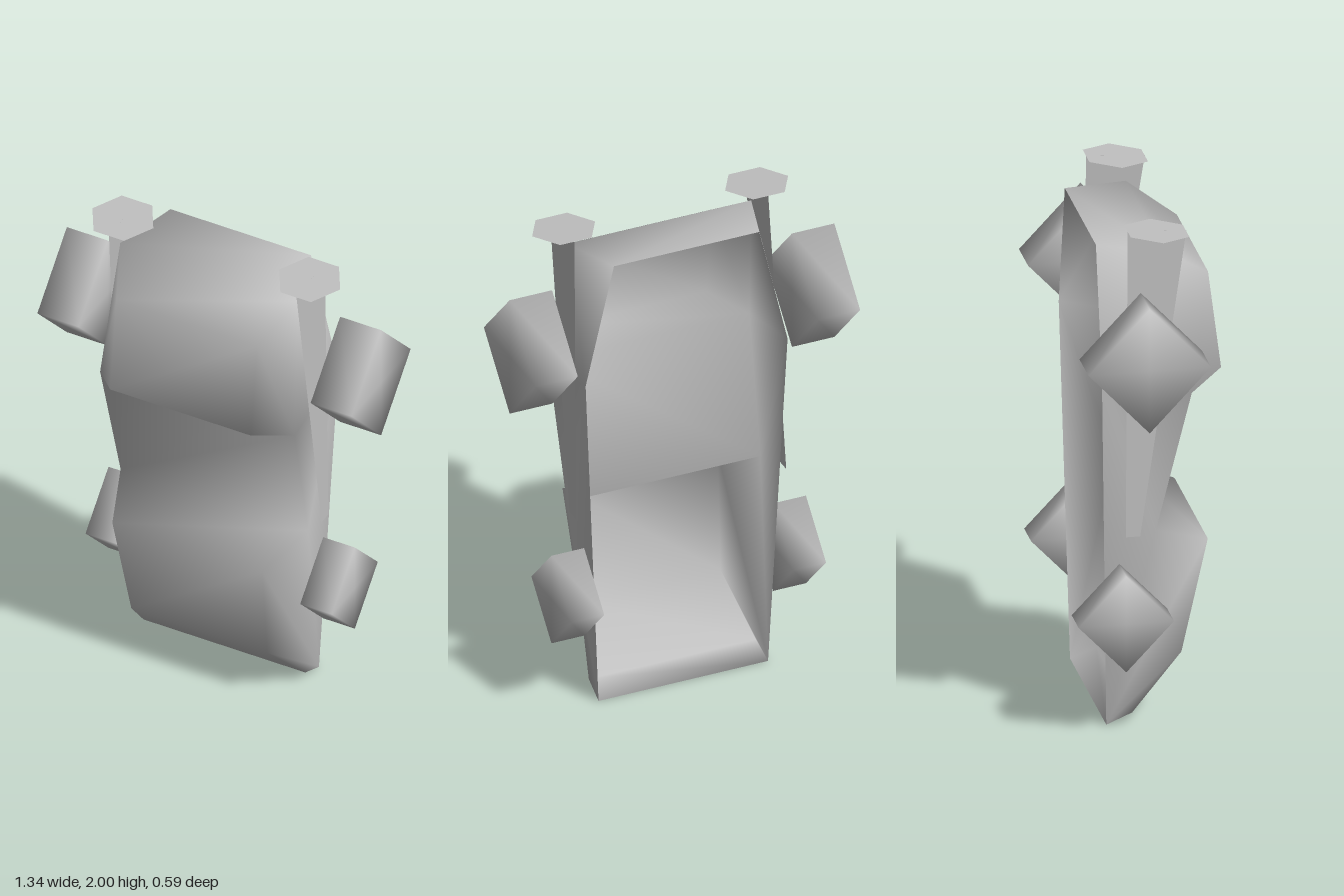
import * as THREE from 'three';
import { mergeVertices } from 'three/addons/utils/BufferGeometryUtils.js';

const grey = new THREE.MeshStandardMaterial({ color: 0xc0c0c0, side: THREE.DoubleSide });
grey.name = 'plain grey';

function addMesh(group, name, geometry) {
  const mesh = new THREE.Mesh(geometry, grey);
  mesh.name = name;
  group.add(mesh);
  return mesh;
}

function indexed(points, faces) {
  const g = new THREE.BufferGeometry();
  g.setAttribute('position', new THREE.Float32BufferAttribute(points.flat(), 3));
  g.setIndex(faces.flat());
  g.computeVertexNormals();
  return g;
}

// Car shell standing on its nose, open underneath (-z)
function bodyGeometry() {
  // half width, y, z along the profile: nose, bonnet, cockpit, engine cover, tail
  const profile = [
    [0.35, 0, -0.15], [0.345, 0.04, -0.05], [0.29, 0.25, 0.15], [0.32, 0.71, 0.245],
    [0.4, 0.79, 0.03], [0.415, 1.34, 0.165], [0.3, 1.39, 0.3], [0.3, 1.78, 0.25],
    [0.38, 1.9, 0.07], [0.3, 1.92, -0.18],
    [0.417, 1.42, -0.18], // widest point of the lower rim
  ];
  // Side panel triangles, as profile indices
  const side = [
    [0, 2, 1], [0, 3, 2], [0, 4, 3], [0, 10, 4], [4, 10, 5],
    [5, 7, 6], [5, 8, 7], [5, 10, 8], [10, 9, 8],
  ];
  const n = profile.length;
  const points = [...profile, ...profile.map(([x, y, z]) => [-x, y, z])];
  const faces = [];
  for (let i = 0; i < 9; i++) {
    faces.push([i + n, i, i + 1], [i + n, i + 1, i + 1 + n]);
  }
  for (const [a, b, c] of side) faces.push([a, b, c], [a + n, c + n, b + n]);
  return indexed(points, faces);
}

// Four-sided wheel with softly shared normals
function wheelGeometry(radiusY, radiusZ, width) {
  let g = new THREE.CylinderGeometry(1, 1, width, 4);
  g.rotateZ(Math.PI / 2);
  g.scale(1, radiusY, radiusZ);
  g.deleteAttribute('normal');
  g.deleteAttribute('uv');
  g = mergeVertices(g);
  g.computeVertexNormals();
  return g;
}

export function createModel() {
  const model = new THREE.Group();
  model.name = 'car';
  addMesh(model, 'body', bodyGeometry());

  for (const s of [1, -1]) {
    const label = s > 0 ? 'left' : 'right';

    // Wheels
    addMesh(model, label + 'RearWheel', wheelGeometry(0.25, 0.235, 0.175))
      .position.set(s * 0.583, 1.54, -0.047);
    addMesh(model, label + 'FrontWheel', wheelGeometry(0.193, 0.183, 0.135))
      .position.set(s * 0.458, 0.468, -0.108);

    // Tapering side fin, the right one leaning outwards
    const top = s > 0 ? 0.415 : -0.385;
    const foot = s > 0 ? 0.42 : -0.45;
    addMesh(model, label + 'Fin', indexed(
      [[foot, 0.79, -0.04], [foot, 0.79, -0.095], [top, 2, -0.075], [top, 1.985, 0.15]],
      s > 0 ? [[0, 1, 2], [0, 2, 3]] : [[0, 2, 1], [0, 3, 2]],
    ));

    // Flat hexagonal plate on top of the fin
    const plate = new THREE.CircleGeometry(0.13, 6);
    plate.rotateX(-Math.PI / 2 + 0.066);
    addMesh(model, label + 'FinPlate', plate).position.set(s > 0 ? 0.41 : -0.387, 1.9925, 0.036);
  }
  return model;
}
